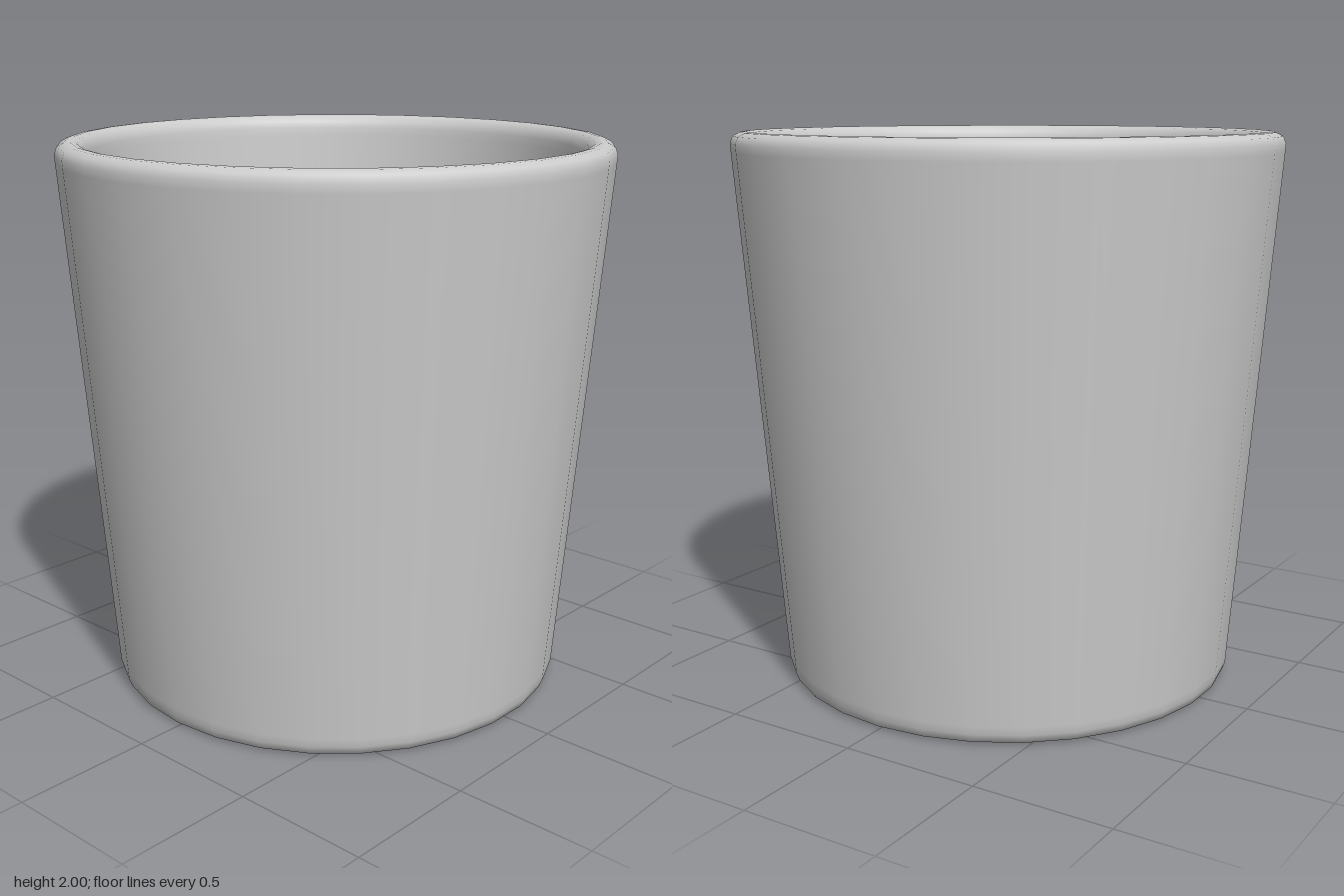
import * as THREE from 'three';

const SIDES = 30;
const material = new THREE.MeshStandardMaterial({ color: 0xcccccc });

// Turns a list of [radius, height] pairs into a smooth round part
function turned(name, profile) {
  const points = profile.map(([r, y]) => new THREE.Vector2(r, y));
  const mesh = new THREE.Mesh(new THREE.LatheGeometry(points, SIDES), material);
  mesh.name = name;
  return mesh;
}

export function createModel() {
  const model = new THREE.Group();
  model.name = 'taperedPot';

  // Pot wall: base, rounded foot, tapered outside, rounded rim, inside, inner floor
  model.add(turned('pot', [
    [0, 0], [0.79, 0], [0.805, 0], [0.828, 0.01], [0.84, 0.04],
    [0.842, 0.07], [0.988, 1.93],
    [0.99, 1.96], [0.98, 1.985], [0.955, 1.998], [0.935, 2], [0.912, 1.994], [0.894, 1.975], [0.887, 1.95],
    [0.885, 1.92], [0.742, 0.12], [0.74, 0.1], [0.72, 0.1], [0, 0.1],
  ]));

  // Filling: a block standing inside the pot with a softened top edge
  model.add(turned('filling', [
    [0.73, 0.1], [0.73, 1.5], [0.729, 1.56], [0.718, 1.58], [0, 1.585],
  ]));

  return model;
}
